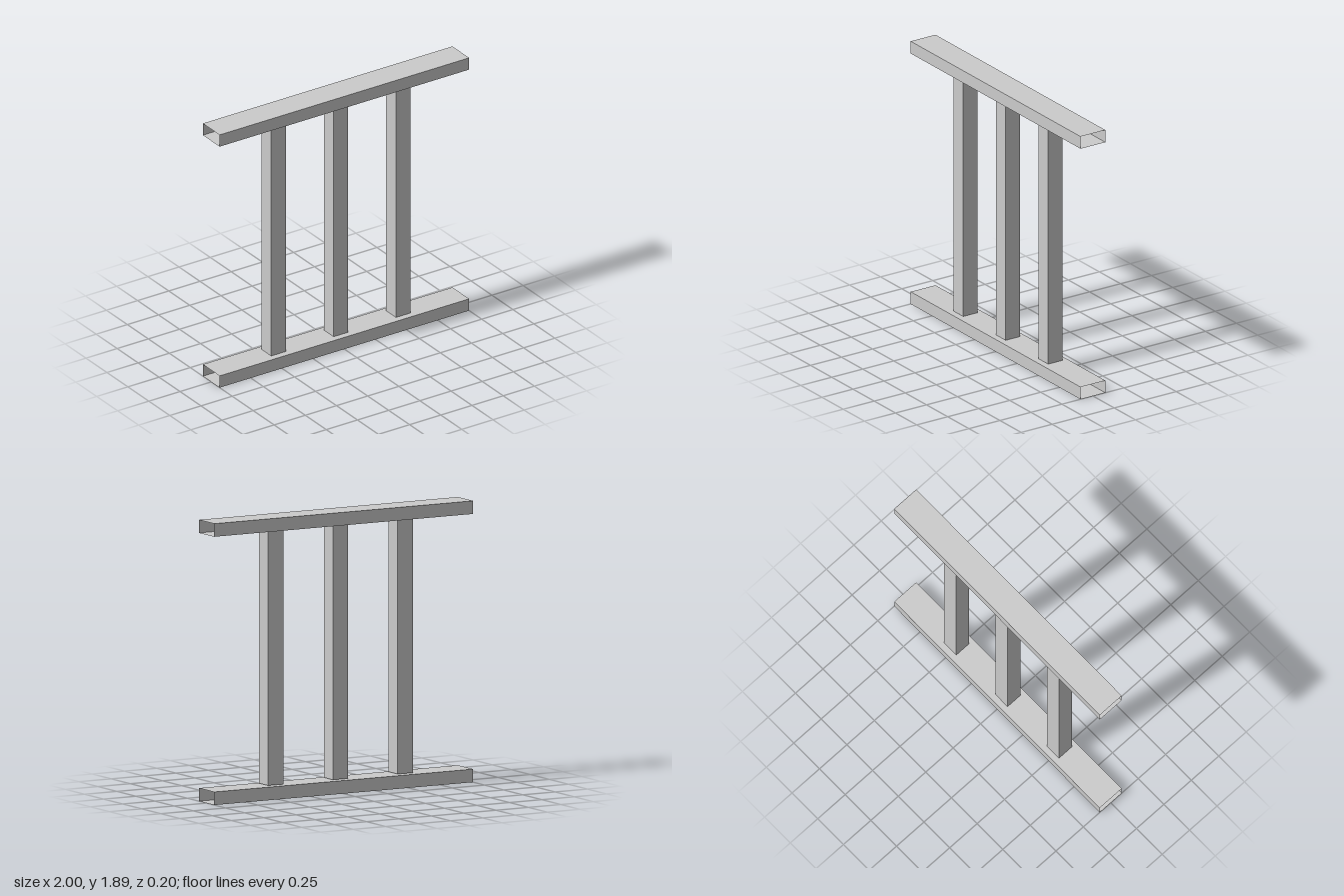
import * as THREE from 'three';

const material = new THREE.MeshStandardMaterial({ color: 0xcccccc, side: THREE.DoubleSide });

// Thin-walled rectangular tube, open at both ends of the given axis (0 = x, 1 = y)
function openTube(name, size, axis, x, y) {
  const geometry = new THREE.BoxGeometry(...size);
  const index = Array.from(geometry.index.array);
  index.splice(axis * 12, 12); // drop the two end faces
  geometry.setIndex(index);
  geometry.clearGroups();
  const mesh = new THREE.Mesh(geometry, material);
  mesh.name = name;
  mesh.position.set(x, y, 0);
  return mesh;
}

export function createModel() {
  const group = new THREE.Group();
  group.name = 'railing';

  const length = 2, railHeight = 0.088, railDepth = 0.2, height = 1.893;
  const postWidth = 0.117, postBottom = 0.092, postTop = height - railHeight / 2;

  // Horizontal rails, hollow with open ends
  const railSize = [length, railHeight, railDepth];
  group.add(openTube('bottomRail', railSize, 0, 0, railHeight / 2));
  group.add(openTube('topRail', railSize, 0, 0, height - railHeight / 2));

  // Upright posts, running up into the top rail
  const postSize = [postWidth, postTop - postBottom, postWidth];
  ['rightPost', 'middlePost', 'leftPost'].forEach((name, i) => {
    group.add(openTube(name, postSize, 1, (i - 1) * 0.5, (postTop + postBottom) / 2));
  });

  return group;
}
